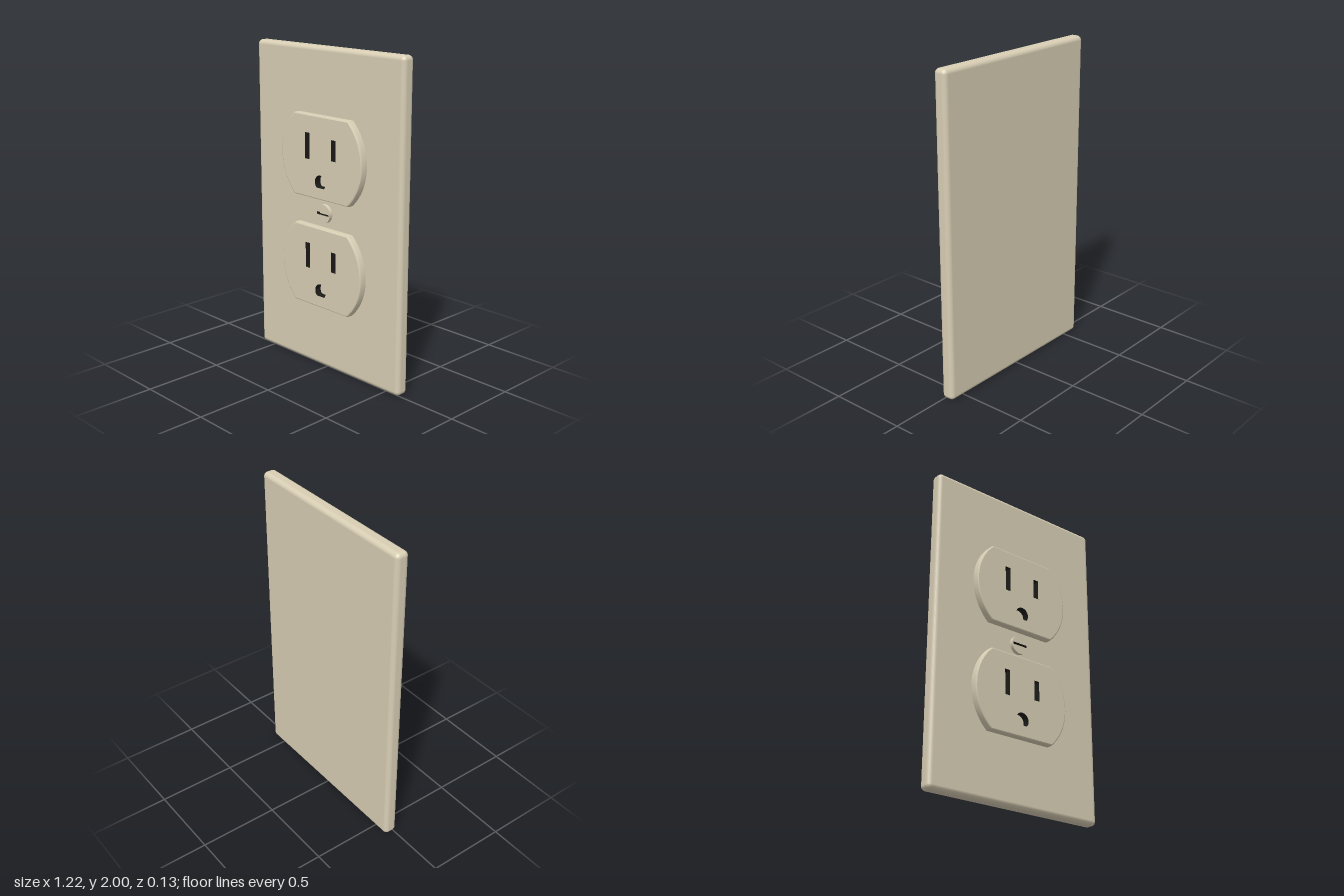
import * as THREE from 'three';
import { RoundedBoxGeometry } from 'three/addons/geometries/RoundedBoxGeometry.js';
import { mergeGeometries, toCreasedNormals } from 'three/addons/utils/BufferGeometryUtils.js';

const PLATE_FRONT = 0.02;
const ivory = new THREE.MeshStandardMaterial({ color: 0xd8ceb4 });
const dark = new THREE.MeshStandardMaterial({ color: 0x1c1b18 });

// Points along an arc, counter-clockwise
function arc(cx, cy, r, a0, a1, n) {
  return Array.from({ length: n + 1 }, (_, i) => {
    const a = a0 + (a1 - a0) * i / n;
    return new THREE.Vector2(cx + r * Math.cos(a), cy + r * Math.sin(a));
  });
}

function rect(x0, x1, y0, y1) {
  return [[x0, y0], [x1, y0], [x1, y1], [x0, y1]].map(p => new THREE.Vector2(...p));
}

// Circle cut flat at top and bottom
function cutCircle(r, h) {
  const a = Math.asin(h / r);
  return [...arc(0, 0, r, -a, a, 24), ...arc(0, 0, r, Math.PI - a, Math.PI + a, 24)];
}

// Closed wall through outlines [points, z], ordered back to front
function wall(rings) {
  const pos = [];
  for (let k = 0; k + 1 < rings.length; k++) {
    const [A, za] = rings[k], [B, zb] = rings[k + 1];
    A.forEach((a, i) => {
      const j = (i + 1) % A.length;
      const p = [[a.x, a.y, za], [A[j].x, A[j].y, za], [B[j].x, B[j].y, zb], [B[i].x, B[i].y, zb]];
      [0, 1, 2, 0, 2, 3].forEach(c => pos.push(...p[c]));
    });
  }
  const g = new THREE.BufferGeometry();
  g.setAttribute('position', new THREE.Float32BufferAttribute(pos, 3));
  return toCreasedNormals(g, 0.6);
}

// Raised body: outer wall, pierced front face, and dark hole walls
function raisedPart(name, rings, holes) {
  const group = new THREE.Group();
  group.name = name;
  const [front, z] = rings[rings.length - 1];
  const shape = new THREE.Shape(front);
  shape.holes = holes.map(h => new THREE.Path(h));
  const face = new THREE.ShapeGeometry(shape).toNonIndexed().translate(0, 0, z);
  face.deleteAttribute('uv');
  const body = new THREE.Mesh(mergeGeometries([wall(rings), face]), ivory);
  body.name = name + 'Body';
  const inner = holes.map(h => {
    const reversed = [...h].reverse();
    return wall([[reversed, PLATE_FRONT], [reversed, z]]);
  });
  const slots = new THREE.Mesh(mergeGeometries(inner), dark);
  slots.name = name + 'SlotWalls';
  group.add(body, slots);
  return group;
}

export function createModel() {
  const model = new THREE.Group();
  model.name = 'wallOutlet';

  // Cover plate
  const plate = new THREE.Mesh(new RoundedBoxGeometry(1.22, 2, 0.085, 5, 0.028), ivory);
  plate.name = 'coverPlate';
  plate.position.set(0, 1, PLATE_FRONT - 0.0425);
  model.add(plate);

  // Two sockets, each with two blade slots and a ground hole
  for (const [name, y] of [['upperSocket', 1.347], ['lowerSocket', 0.662]]) {
    const outer = cutCircle(0.34, 0.253);
    const rings = [[outer, PLATE_FRONT], [outer, 0.057],
      [cutCircle(0.338, 0.251), 0.062], [cutCircle(0.332, 0.246), 0.065]];
    const socket = raisedPart(name, rings, [
      rect(-0.13, -0.092, -0.017, 0.143),
      rect(0.093, 0.13, 0, 0.126),
      arc(0, -0.148, 0.046, -0.77, Math.PI + 0.77, 24),
    ]);
    socket.position.y = y;
    model.add(socket);
  }

  // Slotted centre screw
  const rim = arc(0, 0, 0.058, 0, Math.PI * 2, 32).slice(0, -1);
  const screw = raisedPart('screw', [[rim, PLATE_FRONT], [rim, 0.043]],
    [rect(-0.05, 0.05, -0.008, 0.008)]);
  screw.position.y = 1.004;
  model.add(screw);

  return model;
}
